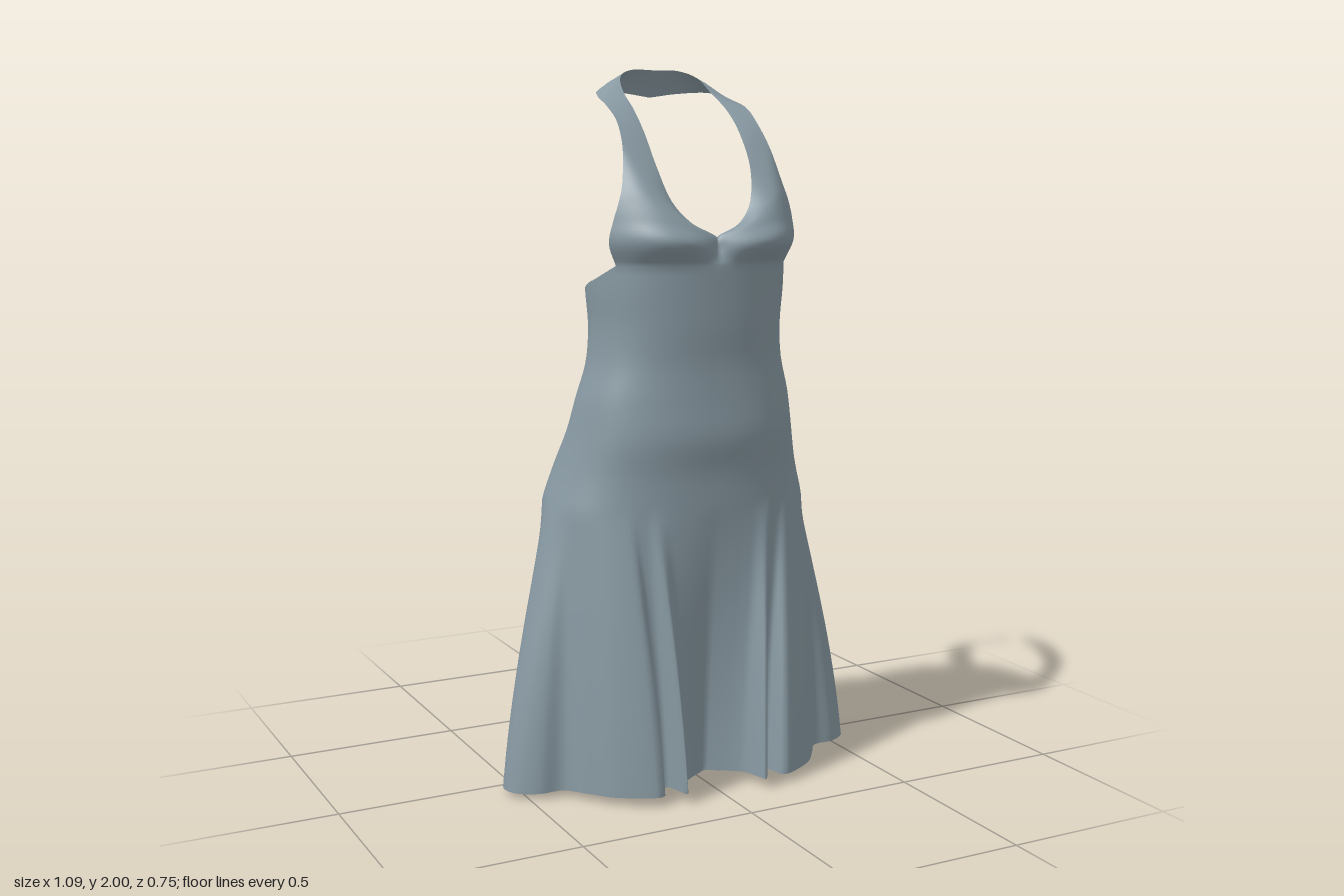
import * as THREE from 'three';
import { mergeGeometries, mergeVertices } from 'three/addons/utils/BufferGeometryUtils.js';

const V = (x, y, z) => new THREE.Vector3(x, y, z);
const spline = (pts) => new THREE.CatmullRomCurve3(pts.map((p) => V(...p)), false, 'catmullrom', 0.5);

const COLUMNS = 240;             // columns around the body
const STEP = (Math.PI * 2) / COLUMNS;
const ARM = 43;                  // column where the front bodice ends under the arm
const BUST_Y = 1.47;

// [half width, front z, back z] every 0.1 from the hips (y 0.8) to the bust (y 1.5)
const bodySections = spline([
  [0.385, 0.285, -0.24], [0.355, 0.29, -0.205], [0.33, 0.305, -0.14], [0.31, 0.3, -0.108],
  [0.283, 0.297, -0.09], [0.275, 0.305, -0.093], [0.283, 0.31, -0.097], [0.285, 0.315, -0.1],
]);

// Half of the hem outline from centre front to centre back, with the angle of each point
const hemAngles = [0, 12, 18, 24, 28, 33, 37, 48, 60, 72, 80, 86, 94, 102, 112, 125, 138, 147, 157, 166, 172, 180];
const hemOutline = spline([
  [0, 0, 0.225], [0.07, 0, 0.27], [0.1, 0, 0.3], [0.125, 0, 0.37], [0.145, 0, 0.3], [0.17, 0, 0.3],
  [0.195, 0, 0.355], [0.3, 0, 0.3], [0.36, 0, 0.23], [0.41, 0, 0.165], [0.48, 0, 0.155],
  [0.54, 0, 0.11], [0.54, 0, 0.04], [0.46, 0, -0.02], [0.37, 0, -0.05], [0.31, 0, -0.12],
  [0.3, 0, -0.26], [0.255, 0, -0.365], [0.17, 0, -0.375], [0.08, 0, -0.28], [0.05, 0, -0.2], [0, 0, -0.15],
]);

function hemPoint(a) {
  const deg = THREE.MathUtils.radToDeg(a);
  let i = 0;
  while (i < hemAngles.length - 2 && deg > hemAngles[i + 1]) i++;
  const f = (deg - hemAngles[i]) / (hemAngles[i + 1] - hemAngles[i]);
  return hemOutline.getPoint(THREE.MathUtils.clamp((i + f) / (hemAngles.length - 1), 0, 1));
}

// Point on the fitted body, easing into the pleated hem below the hips; a runs 0 (front) to PI (back)
function bodyPoint(a, y) {
  const s = bodySections.getPoint(THREE.MathUtils.clamp((y - 0.8) / 0.7, 0, 1));
  const zc = 0.04 + 0.06 * THREE.MathUtils.smoothstep(y, 0.8, 1.2);
  const c = Math.cos(a);
  const x = s.x * Math.pow(Math.max(0, Math.sin(a)), 0.88);
  let z = zc + Math.sign(c) * Math.pow(Math.abs(c), 0.85) * (c > 0 ? s.y - zc : zc - s.z);
  // cleft at the centre back of the hips
  if (c < 0) z += 0.025 * Math.exp(-((x / 0.06) ** 2)) * Math.exp(-(((y - 0.78) / 0.13) ** 2));
  const p = V(x, y, z);
  if (y < 0.8) {
    const t = (0.8 - y) / 0.8;
    const hem = hemPoint(a);
    hem.y = y;
    p.lerp(hem, 0.5 * (t + Math.sin((t * Math.PI) / 2)));
  }
  return p;
}

// Grid surface from point(i, j); i runs sideways and j upwards
function gridGeometry(nu, nv, point, flip = false) {
  const pos = [], idx = [];
  for (let j = 0; j <= nv; j++) for (let i = 0; i <= nu; i++) pos.push(...point(i, j).toArray());
  for (let j = 0; j < nv; j++) for (let i = 0; i < nu; i++) {
    const a = j * (nu + 1) + i, b = a + 1, c = b + nu + 1, d = a + nu + 1;
    idx.push(...(flip ? [a, c, b, a, d, c] : [a, b, c, a, c, d]));
  }
  const g = new THREE.BufferGeometry();
  g.setAttribute('position', new THREE.Float32BufferAttribute(pos, 3));
  g.setIndex(idx);
  return g;
}

// Skirt and bodice up to the low back edge
function bodyGeometry() {
  const rows = 60;
  return gridGeometry(COLUMNS, rows, (i, j) => {
    const k = Math.min(i, COLUMNS - i), a = k * STEP;
    const drop = Math.max(0, (k - ARM) / (COLUMNS / 2 - ARM));
    const top = 1.355 + (BUST_Y - 1.355) * (1 - drop) ** 2;
    const bottom = 0.015 + 0.015 * Math.cos(a);
    const p = bodyPoint(a, bottom + ((top - bottom) * j) / rows);
    if (i > COLUMNS / 2) p.x *= -1;
    return p;
  });
}

// Bust and halter strap: inner edge, middle and outer edge of each row up to the nape
const halterRows = [
  [[0, 1.51, 0.297], [0.15, 1.53, 0.338], [0.285, 1.53, 0.215]],
  [[0, 1.545, 0.29], [0.15, 1.58, 0.315], [0.275, 1.59, 0.222]],
  [[0.07, 1.58, 0.285], [0.165, 1.62, 0.293], [0.26, 1.64, 0.225]],
  [[0.12, 1.64, 0.258], [0.185, 1.665, 0.262], [0.245, 1.69, 0.215]],
  [[0.143, 1.73, 0.215], [0.187, 1.74, 0.212], [0.227, 1.78, 0.18]],
  [[0.147, 1.82, 0.15], [0.182, 1.825, 0.15], [0.217, 1.85, 0.125]],
  [[0.145, 1.885, 0.08], [0.182, 1.89, 0.075], [0.218, 1.895, 0.06]],
  [[0.138, 1.935, 0], [0.175, 1.932, -0.01], [0.208, 1.92, -0.015]],
  [[0.12, 1.98, -0.055], [0.15, 1.965, -0.065], [0.175, 1.94, -0.085]],
  [[0.07, 2, -0.083], [0.08, 1.97, -0.1], [0.09, 1.937, -0.113]],
  [[0, 2, -0.085], [0, 1.965, -0.1], [0, 1.925, -0.115]],
];

function halterGeometry(side) {
  const columns = [];
  for (let i = 0; i <= ARM; i++) {
    const s = i / ARM;
    const w = [(1 - s) * (1 - 2 * s), 4 * s * (1 - s), s * (2 * s - 1)];
    const path = halterRows.map((row) => [0, 1, 2].map((n) => row.reduce((sum, p, q) => sum + p[n] * w[q], 0)));
    columns.push(spline([bodyPoint(i * STEP, BUST_Y).toArray(), ...path]));
  }
  const rows = halterRows.length * 5;
  return gridGeometry(ARM, rows, (i, j) => {
    const p = columns[i].getPoint(j / rows);
    p.x = side * Math.max(0, p.x);
    return p;
  }, side < 0);
}

export function createModel() {
  const model = new THREE.Group();
  model.name = 'halterDress';
  const fabric = new THREE.MeshStandardMaterial({ color: 0x8899a2, side: THREE.DoubleSide });
  fabric.name = 'blueGreyFabric';

  // Weld the parts so the cloth shades as one smooth piece
  const geometry = mergeVertices(mergeGeometries([bodyGeometry(), halterGeometry(1), halterGeometry(-1)]), 1e-4);
  geometry.computeVertexNormals();
  const dress = new THREE.Mesh(geometry, fabric);
  dress.name = 'dressCloth';
  model.add(dress);
  return model;
}
